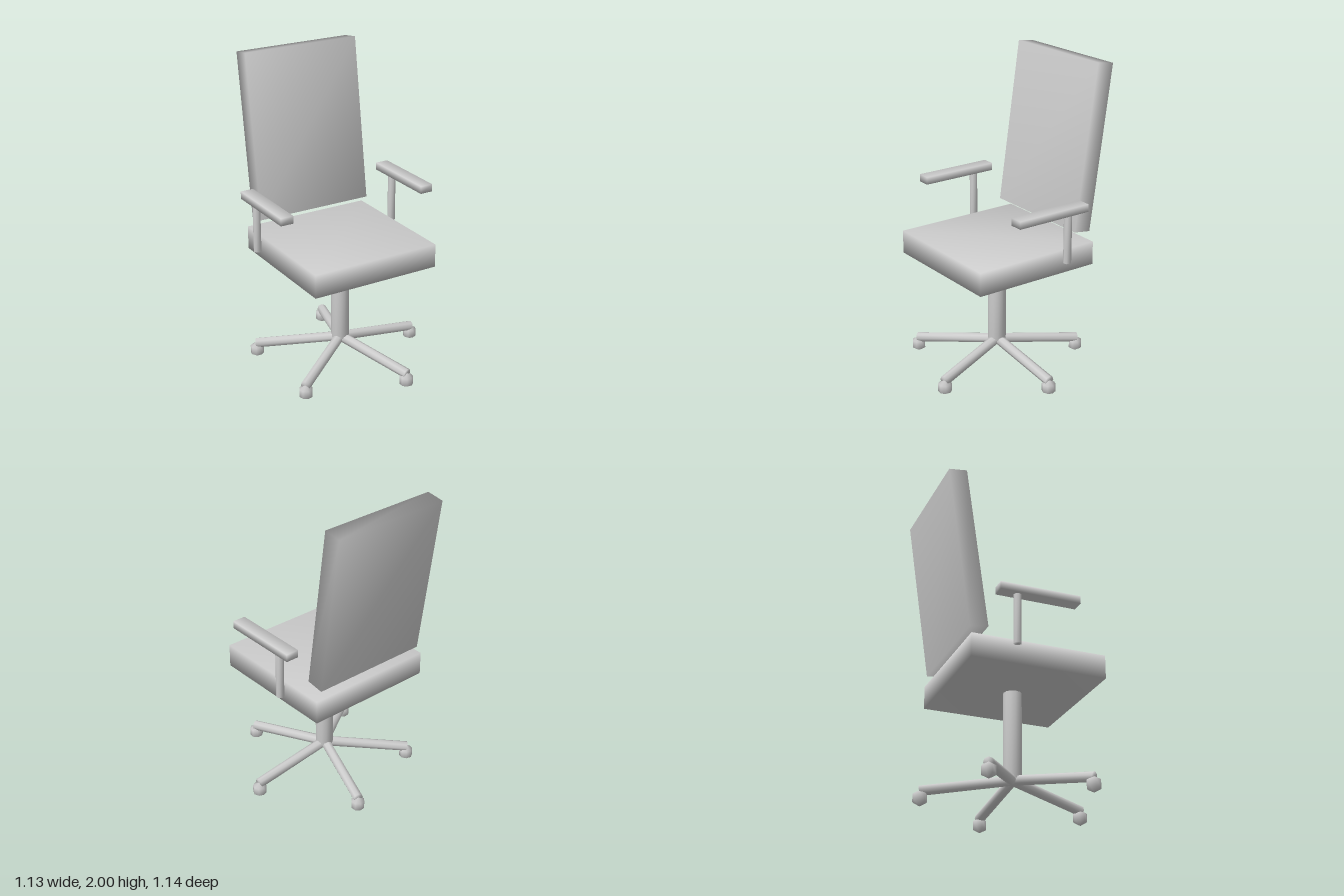
import * as THREE from 'three';
import { mergeVertices } from 'three/addons/utils/BufferGeometryUtils.js';

const grey = new THREE.MeshStandardMaterial({ color: 0xcccccc });
grey.name = 'light grey';

const CX = -0.028; // swivel axis

// Weld shared corners so shading runs smoothly over every edge
function soften(geometry) {
  geometry.deleteAttribute('normal');
  geometry.deleteAttribute('uv');
  const welded = mergeVertices(geometry, 1e-4);
  welded.computeVertexNormals();
  return welded;
}

function addPart(parent, name, geometry, x, y, z) {
  const mesh = new THREE.Mesh(soften(geometry), grey);
  mesh.name = name;
  mesh.position.set(x, y, z);
  parent.add(mesh);
  return mesh;
}

// Round bar between two points
function addBar(parent, name, from, to, radius, sides) {
  const dir = to.clone().sub(from);
  const mid = from.clone().add(to).multiplyScalar(0.5);
  const bar = addPart(parent, name, new THREE.CylinderGeometry(radius, radius, dir.length(), sides), mid.x, mid.y, mid.z);
  bar.quaternion.setFromUnitVectors(new THREE.Vector3(0, 1, 0), dir.normalize());
  return bar;
}

export function createModel() {
  const chair = new THREE.Group();
  chair.name = 'officeChair';

  // Seat and reclined backrest
  addPart(chair, 'seat', new THREE.BoxGeometry(0.855, 0.15, 0.855), CX, 0.805, 0.005);
  const back = addPart(chair, 'backrest', new THREE.BoxGeometry(0.784, 1.056, 0.117), CX, 1.47, -0.438);
  back.rotation.x = -0.1426;

  // Central column
  addPart(chair, 'column', new THREE.CylinderGeometry(0.058, 0.058, 0.56, 12), CX, 0.455, 0.005);

  // Armrests
  for (const side of [-1, 1]) {
    const arm = new THREE.Group();
    arm.name = side > 0 ? 'leftArmrest' : 'rightArmrest';
    arm.position.x = CX + side * 0.495;
    addPart(arm, 'armPad', new THREE.BoxGeometry(0.085, 0.048, 0.512), 0, 1.164, -0.029);
    addPart(arm, 'armPost', new THREE.CylinderGeometry(0.025, 0.025, 0.325, 8), 0, 0.987, -0.163);
    chair.add(arm);
  }

  // Five-spoke base with casters
  const base = new THREE.Group();
  base.name = 'base';
  base.position.set(CX, 0, 0.005);
  for (let i = 0; i < 5; i++) {
    const spoke = new THREE.Group();
    spoke.name = 'spoke' + (i + 1);
    spoke.rotation.y = (i * Math.PI * 2) / 5;
    addBar(spoke, 'leg', new THREE.Vector3(0, 0.172, 0), new THREE.Vector3(0.55, 0.095, 0), 0.032, 8);
    addPart(spoke, 'caster', new THREE.SphereGeometry(0.05, 8, 3), 0.545, 0.05, 0);
    base.add(spoke);
  }
  chair.add(base);

  return chair;
}
